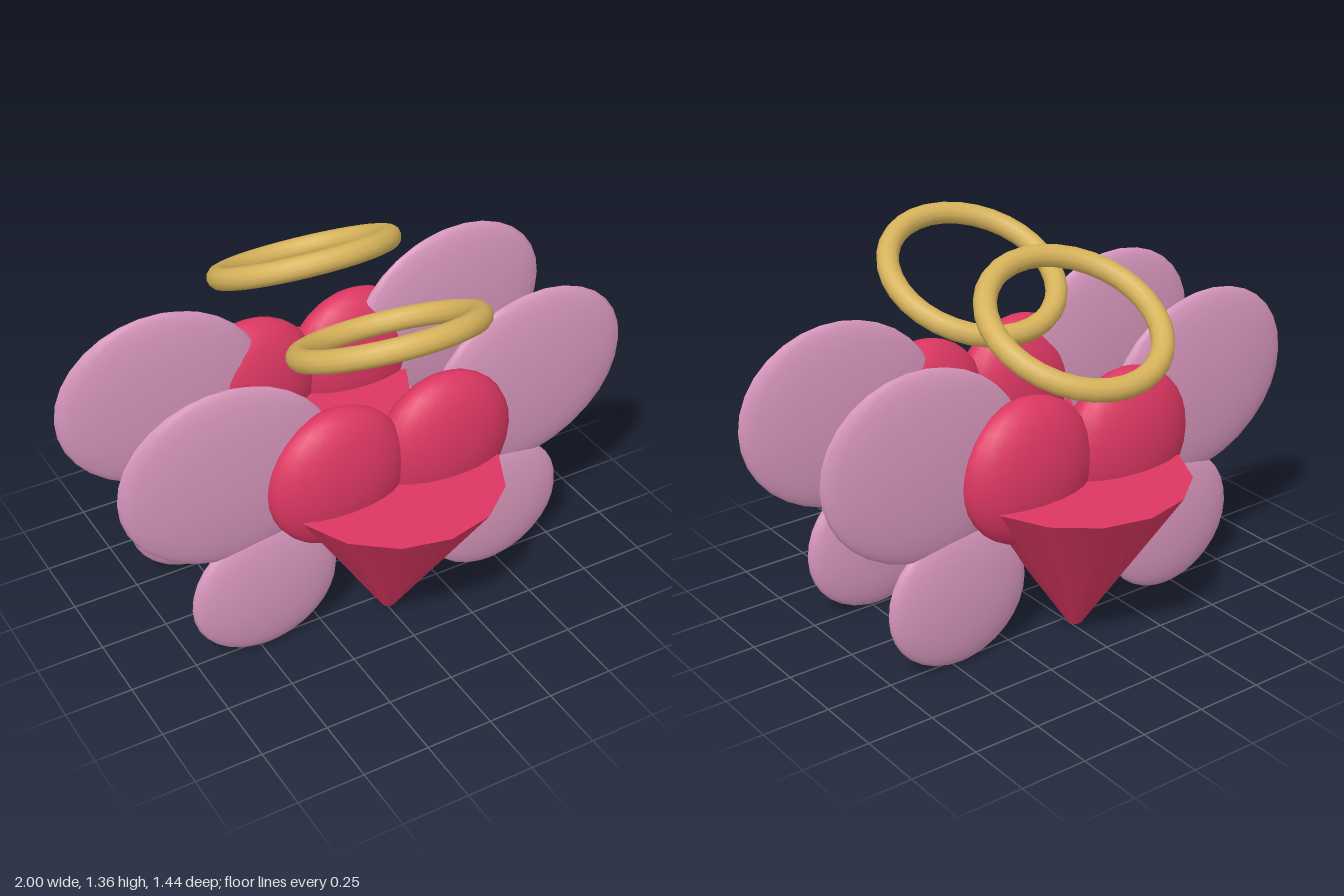
import * as THREE from 'three';

const red = new THREE.MeshStandardMaterial({ color: 0xdc3762 });
red.name = 'heart red';
const pink = new THREE.MeshStandardMaterial({ color: 0xd796bc });
pink.name = 'wing pink';
const gold = new THREE.MeshStandardMaterial({ color: 0xd6b25a });
gold.name = 'halo gold';

function add(parent, name, geometry, material, x, y, z) {
  const mesh = new THREE.Mesh(geometry, material);
  mesh.name = name;
  mesh.position.set(x, y, z);
  parent.add(mesh);
  return mesh;
}

// Ellipsoid with given half-sizes
const ellipsoid = (rx, ry, rz) => new THREE.SphereGeometry(1, 24, 16).scale(rx, ry, rz);

// One winged heart; side is +1 for the front one, -1 for the rear one
function wingedHeart(side) {
  const group = new THREE.Group();
  group.name = side > 0 ? 'frontHeart' : 'rearHeart';
  const heartZ = 0.316 * side, wingZ = 0.262 * side;

  // Heart point: a wide cone with a blunt tip
  add(group, 'heartPoint', new THREE.CylinderGeometry(0.404, 0.026, 0.583, 14), red, 0, 0.3145, heartZ);

  for (const s of [1, -1]) {
    const label = s > 0 ? 'left' : 'right';
    // Rounded top of the heart
    add(group, label + 'Lobe', ellipsoid(0.265, 0.27, 0.123), red, 0.215 * s, 0.69, heartZ);
    // Upper wing leans up and outwards, lower wing hangs beneath
    const upper = add(group, label + 'UpperWing', ellipsoid(0.409, 0.346, 0.055), pink, 0.595 * s, 0.79, wingZ);
    upper.rotation.z = 0.26 * s;
    add(group, label + 'LowerWing', ellipsoid(0.285, 0.266, 0.055), pink, 0.472 * s, 0.267, wingZ);
  }

  // Halo, raised towards the front on both hearts
  const halo = add(group, 'halo', new THREE.TorusGeometry(0.314, 0.041, 12, 32), gold, 0, 1.176, 0.295 * side);
  halo.rotation.x = THREE.MathUtils.degToRad(62.6);
  return group;
}

export function createModel() {
  const model = new THREE.Group();
  model.name = 'wingedHearts';
  for (const side of [1, -1]) model.add(wingedHeart(side));
  return model;
}
